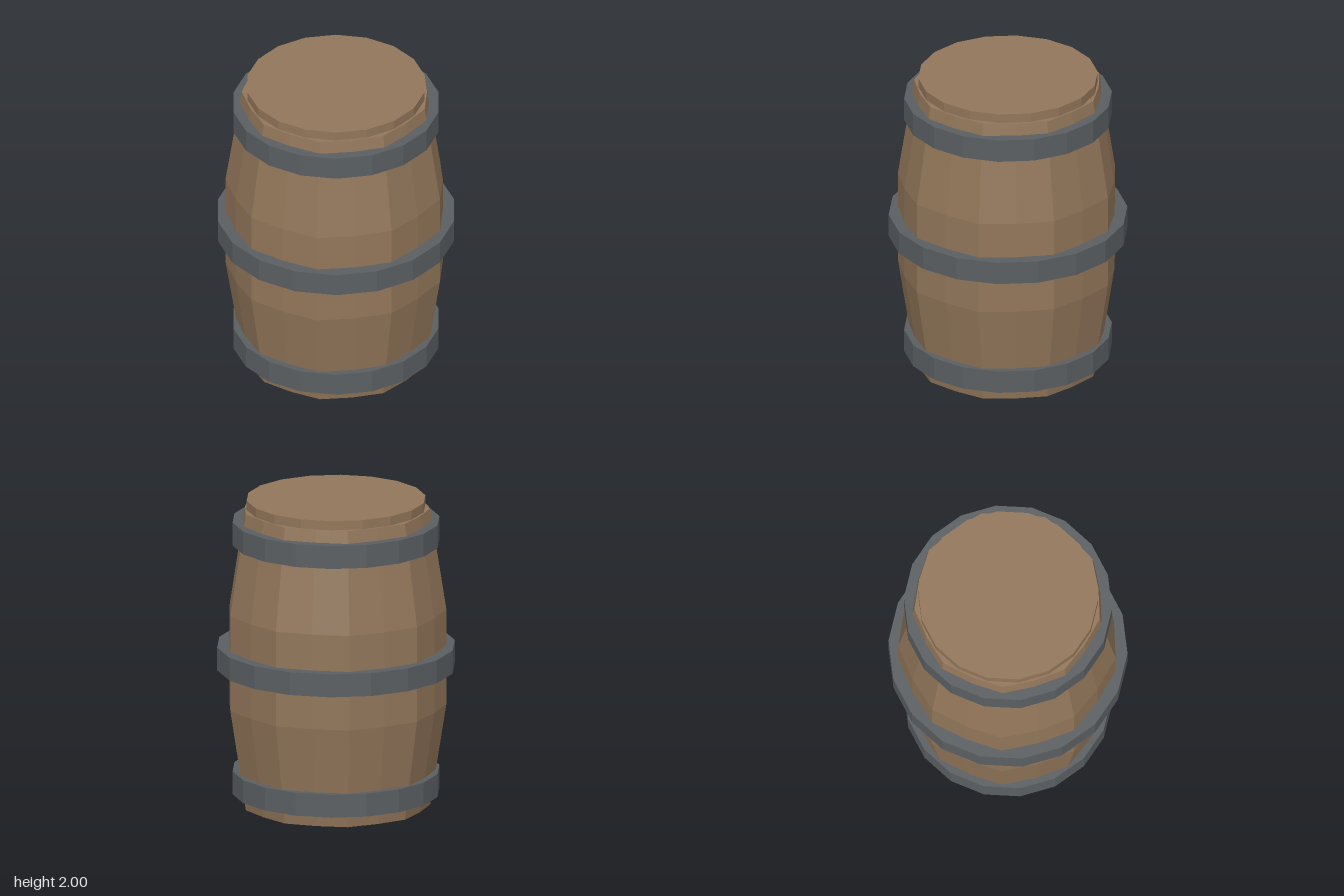
import * as THREE from 'three';

const SIDES = 18;
const wood = new THREE.MeshStandardMaterial({ color: 0x92765a, flatShading: true });
const iron = new THREE.MeshStandardMaterial({ color: 0x5a5f62, flatShading: true });

// Upright disc or hoop between two heights
function drum(name, radius, y0, y1, material) {
  const mesh = new THREE.Mesh(new THREE.CylinderGeometry(radius, radius, y1 - y0, SIDES), material);
  mesh.position.y = (y0 + y1) / 2;
  mesh.name = name;
  return mesh;
}

// Bulging barrel wall: four rings, every second corner pulled slightly inward
function barrelBody() {
  const rings = [[0, 0.597], [0.66, 0.7], [1.28, 0.7], [1.94, 0.597]];
  const geometry = new THREE.CylinderGeometry(1, 1, 3, SIDES, 3, false, Math.PI / 2);
  const pos = geometry.attributes.position;
  for (let i = 0; i < pos.count; i++) {
    const x = pos.getX(i), z = pos.getZ(i);
    const [y, radius] = rings[Math.round(pos.getY(i) + 1.5)];
    const corner = Math.round(Math.atan2(z, x) / (2 * Math.PI / SIDES));
    const r = radius * (corner % 2 === 0 ? 1 : 0.966);
    pos.setXYZ(i, x * r, y, z * r);
  }
  geometry.computeVertexNormals();
  const mesh = new THREE.Mesh(geometry, wood);
  mesh.name = 'barrelBody';
  return mesh;
}

export function createModel() {
  const group = new THREE.Group();
  group.name = 'barrel';
  group.add(barrelBody());
  group.add(drum('lid', 0.57, 1.93, 2, wood));

  // Iron hoops
  group.add(drum('lowerHoop', 0.66, 0.08, 0.23, iron));
  group.add(drum('middleHoop', 0.758, 0.895, 1.045, iron));
  group.add(drum('upperHoop', 0.66, 1.71, 1.86, iron));
  return group;
}
